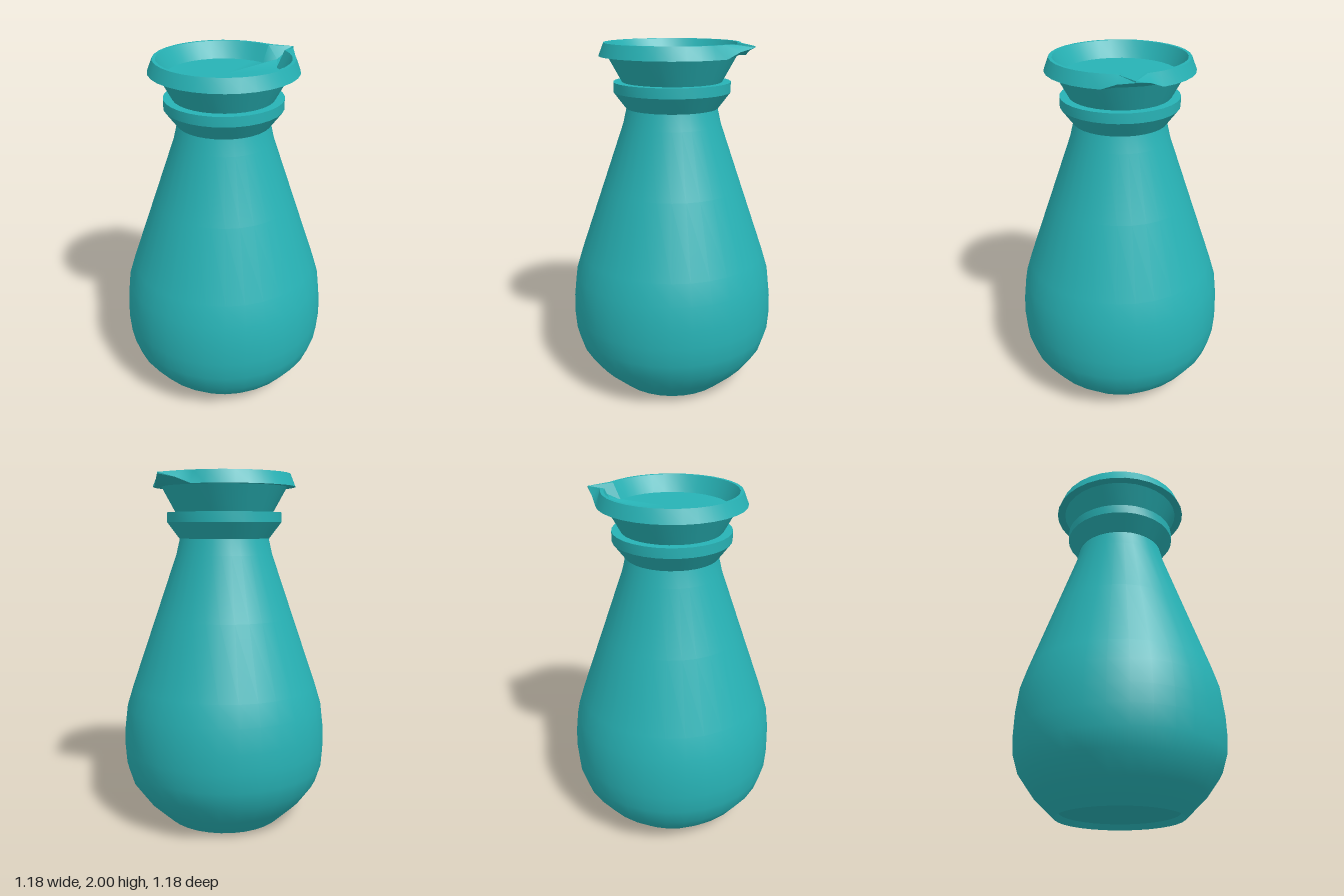
import * as THREE from 'three';
import { toCreasedNormals } from 'three/addons/utils/BufferGeometryUtils.js';

const SEGMENTS = 32;

export function createModel() {
  const group = new THREE.Group();
  const teal = new THREE.MeshStandardMaterial({ color: 0x27b2b5 });
  teal.name = 'teal glaze';

  // Revolve [radius, height] pairs; reshape(step) may replace the profile at one angular step
  function turned(name, profile, reshape) {
    const geo = new THREE.LatheGeometry(profile.map(([r, y]) => new THREE.Vector2(r, y)), SEGMENTS);
    if (reshape) {
      const pos = geo.attributes.position;
      for (let i = 0; i <= SEGMENTS; i++) {
        const section = reshape(i);
        if (!section) continue;
        const phi = (i / SEGMENTS) * Math.PI * 2;
        section.forEach(([r, y], j) =>
          pos.setXYZ(i * profile.length + j, r * Math.sin(phi), y, r * Math.cos(phi)));
      }
    }
    const mesh = new THREE.Mesh(toCreasedNormals(geo, 0.6), teal);
    mesh.name = name;
    group.add(mesh);
  }

  // Pear-shaped body with a shallow recess under the foot
  turned('body', [
    [0, 0.03], [0.326, 0.03], [0.35, 0], [0.472, 0.117], [0.552, 0.228], [0.584, 0.33],
    [0.592, 0.44], [0.589, 0.546], [0.573, 0.68], [0.536, 0.8], [0.398, 1.2],
    [0.276, 1.555], [0.255, 1.645],
  ]);

  // Collar ring around the neck
  turned('collar', [[0.25, 1.645], [0.258, 1.645], [0.326, 1.735], [0.326, 1.79], [0.27, 1.79]]);

  // Flared throat between collar and rim
  turned('throat', [[0.278, 1.79], [0.355, 1.93]]);

  // Rim with inner wall and floor, pulled out into a pouring spout at the back left
  const spoutTip = [[0.355, 1.93], [0.47, 1.982], [0.47, 1.99], [0.462, 1.99], [0.357, 1.935], [0, 1.91]];
  const spoutSide = [[0.355, 1.93], [0.425, 1.963], [0.38, 2], [0.357, 2], [0.312, 1.91], [0, 1.91]];
  const spoutStep = (SEGMENTS * 3) / 8;
  turned('rimWithSpout',
    [[0.355, 1.93], [0.403, 1.93], [0.375, 2], [0.357, 2], [0.312, 1.91], [0, 1.91]],
    (i) => [spoutTip, spoutSide][Math.abs(i - spoutStep)]);

  return group;
}
